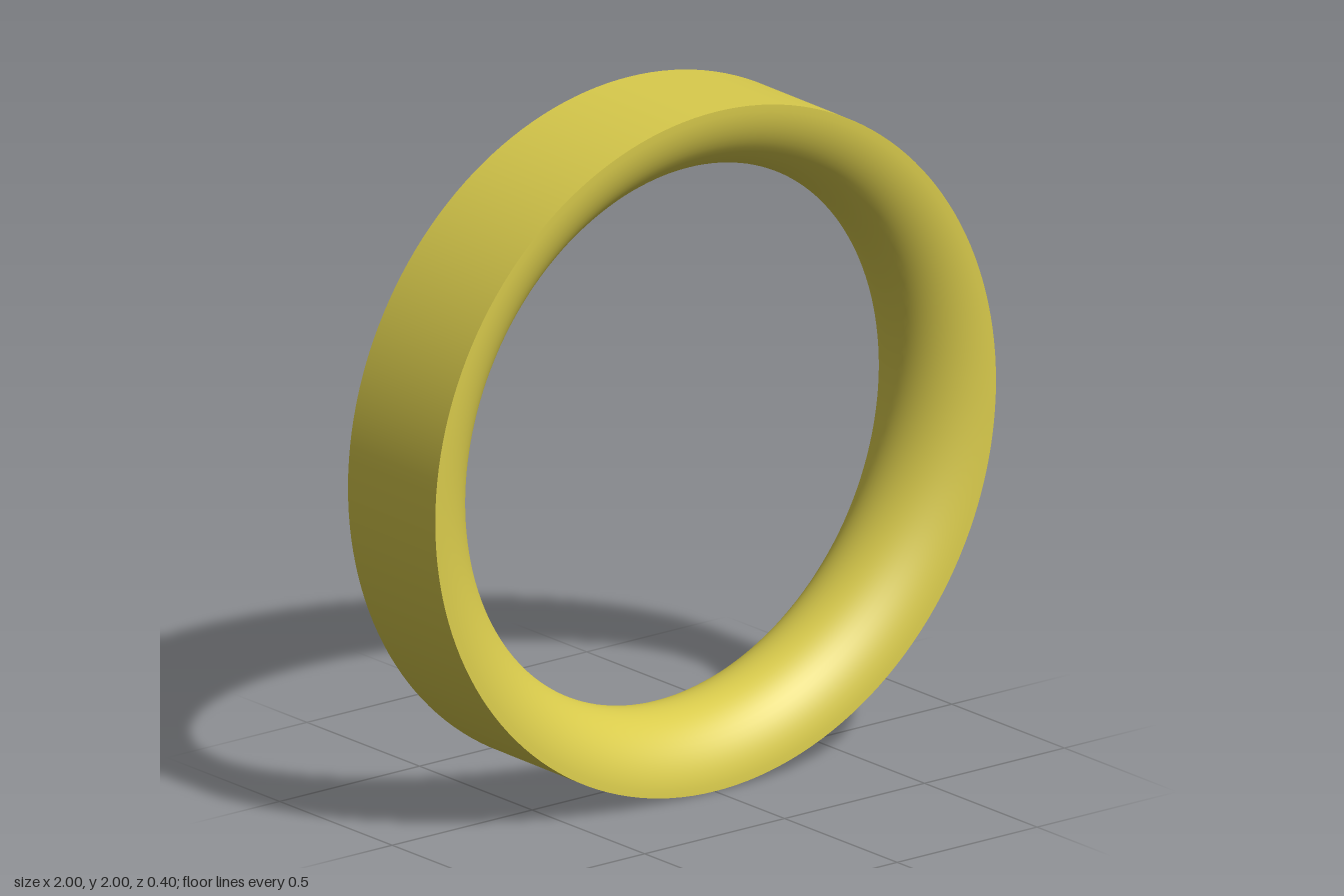
import * as THREE from 'three';

const OUTER = 0.998, INNER = 0.787, HALF = 0.195, SEGMENTS = 160;

export function createModel() {
  const group = new THREE.Group();
  group.name = 'ring';
  const material = new THREE.MeshStandardMaterial({ color: 0xd9cb4c });

  // Revolve a profile of (radius, offset along the axis) around z
  const addBand = (name, points) => {
    const geometry = new THREE.LatheGeometry(points, SEGMENTS);
    geometry.rotateX(Math.PI / 2 + 0.005);
    geometry.rotateY(-0.005); // very slight lean of the ring
    geometry.translate(0, 1, 0);
    const mesh = new THREE.Mesh(geometry, material);
    mesh.name = name;
    group.add(mesh);
  };

  // Straight cylindrical outside
  addBand('outerBand', [
    new THREE.Vector2(OUTER, -HALF),
    new THREE.Vector2(OUTER, HALF),
  ]);

  // Half-round inside, from one rim to the other
  const inside = [];
  for (let i = 0; i <= 32; i++) {
    const a = (i / 32) * Math.PI;
    inside.push(new THREE.Vector2(
      OUTER - (OUTER - INNER) * Math.sin(a),
      HALF * Math.cos(a),
    ));
  }
  addBand('roundedInside', inside);

  return group;
}
